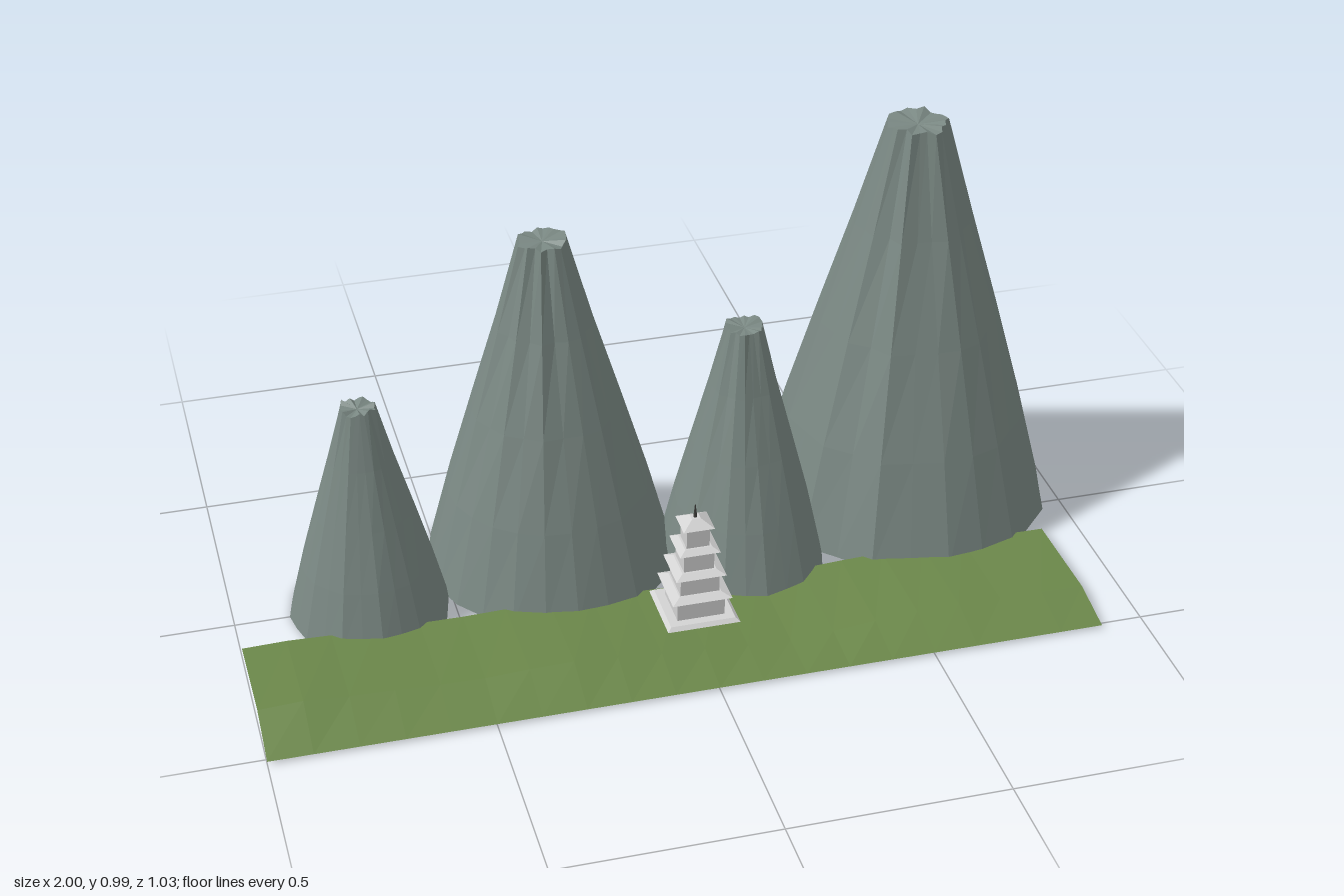
import * as THREE from 'three';

const material = (name, color, extra = {}) => {
  const m = new THREE.MeshStandardMaterial({ color, flatShading: true, ...extra });
  m.name = name;
  return m;
};

function seeded(seed) {
  let s = seed;
  return () => (s = (s * 16807) % 2147483647) / 2147483647;
}

// Craggy karst cone: a cylinder reshaped ring by ring, gullies deepening upward
function karstPeak({ name, x, z, rx, rz, h, top, seed }, mat) {
  const sides = 24, rows = 4;
  const profile = [1, 0.81, 0.6, 0.385, 0.19];
  const rand = seeded(seed);
  const gully = Array.from({ length: sides }, () => rand() * 2 - 1);
  const lift = Array.from({ length: sides }, () => rand());
  const geo = new THREE.CylinderGeometry(1, 1, 1, sides, rows);
  const p = geo.attributes.position;
  for (let i = 0; i < p.count; i++) {
    const t = p.getY(i) + 0.5;
    const row = Math.round(t * rows);
    const px = p.getX(i), pz = p.getZ(i);
    const k = (Math.round((Math.atan2(px, pz) / (2 * Math.PI)) * sides) + sides) % sides;
    const centre = Math.hypot(px, pz) < 0.01;
    // alternate columns lie near the chord of a twelve-sided outline
    const wobble = (k % 2 ? 0.974 : 1) + gully[k] * (0.012 + 0.1 * t * t);
    const f = wobble * (profile[row] + (top / rx - profile[4]) * t);
    const y = row === rows ? h - 0.012 * (centre ? 1 : lift[k]) : 0.005 + t * (h - 0.005);
    p.setXYZ(i, px * f * rx, y, pz * f * (rx + (rz - rx) * (1 - t)));
  }
  const mesh = new THREE.Mesh(geo, mat);
  mesh.name = name;
  mesh.position.set(x, 0, z);
  return mesh;
}

// Undulating riverbank: three rows of height across its depth
function grassBank(mat) {
  const crest = [0.055, 0.06, 0.053, 0.05, 0.045, 0.043, 0.048, 0.05, 0.043, 0.035,
    0.028, 0.018, 0.013, 0.02, 0.03, 0.037, 0.039, 0.036, 0.036, 0.034];
  const depths = [0.14, 0.39, 0.515];
  const geo = new THREE.PlaneGeometry(1.9, 1, crest.length - 1, 2);
  geo.rotateX(-Math.PI / 2);
  const p = geo.attributes.position;
  for (let i = 0; i < p.count; i++) {
    const row = Math.floor(i / crest.length);
    const c = crest[i % crest.length];
    const y = [0.012 + c * 0.5, c, 0.011][row];
    p.setXYZ(i, p.getX(i) - 0.05, y, depths[row]);
  }
  const mesh = new THREE.Mesh(geo, mat);
  mesh.name = 'grassBank';
  return mesh;
}

// Square frustum given by full widths at bottom and top
function squareBlock(name, bottom, top, y0, y1, mat) {
  const geo = new THREE.CylinderGeometry(top * Math.SQRT1_2, bottom * Math.SQRT1_2, y1 - y0, 4);
  geo.rotateY(Math.PI / 4);
  const mesh = new THREE.Mesh(geo, mat);
  mesh.name = name;
  mesh.position.y = (y0 + y1) / 2;
  return mesh;
}

function pagoda(stone, metal) {
  const g = new THREE.Group();
  g.name = 'pagoda';
  g.add(squareBlock('foundation', 0.125, 0.125, 0.045, 0.057, stone));
  g.add(squareBlock('plinth', 0.168, 0.15, 0.055, 0.063, stone));
  // body width, floor height, eave height, eave width
  const tiers = [
    [0.11, 0.06, 0.113, 0.138],
    [0.09, 0.118, 0.169, 0.116],
    [0.07, 0.175, 0.226, 0.094],
    [0.053, 0.232, 0.284, 0.072],
  ];
  tiers.forEach(([w, y0, y1, eave], i) => {
    const last = i === tiers.length - 1;
    g.add(squareBlock(`storey${i + 1}`, w, w, y0 - 0.004, y1, stone));
    g.add(squareBlock(`roof${i + 1}`, eave, last ? 0.02 : w * 0.88, y1, y1 + (last ? 0.016 : 0.009), stone));
  });
  const spire = new THREE.Mesh(new THREE.CylinderGeometry(0.001, 0.005, 0.035, 8), metal);
  spire.name = 'spire';
  spire.position.y = 0.3135;
  g.add(spire);
  g.position.set(0.01, 0, 0.265);
  return g;
}

export function createModel() {
  const rock = material('grey green rock', 0x7a8883);
  const grass = material('grass green', 0x6b874a, { side: THREE.DoubleSide });
  const stone = material('pale stone', 0xd2d2d2);
  const metal = material('dark metal', 0x3c3c38);

  const model = new THREE.Group();
  model.name = 'karstLandscape';
  const peaks = [
    { name: 'smallPeak', x: -0.69, z: 0, rx: 0.185, rz: 0.195, h: 0.545, top: 0.04, seed: 11 },
    { name: 'tallPeak', x: -0.243, z: -0.1, rx: 0.295, rz: 0.305, h: 0.85, top: 0.056, seed: 29 },
    { name: 'middlePeak', x: 0.197, z: 0, rx: 0.195, rz: 0.225, h: 0.62, top: 0.044, seed: 47 },
    { name: 'highestPeak', x: 0.645, z: -0.152, rx: 0.352, rz: 0.363, h: 1.0, top: 0.068, seed: 83 },
  ];
  peaks.forEach((spec) => model.add(karstPeak(spec, rock)));
  model.add(grassBank(grass), pagoda(stone, metal));
  return model;
}
